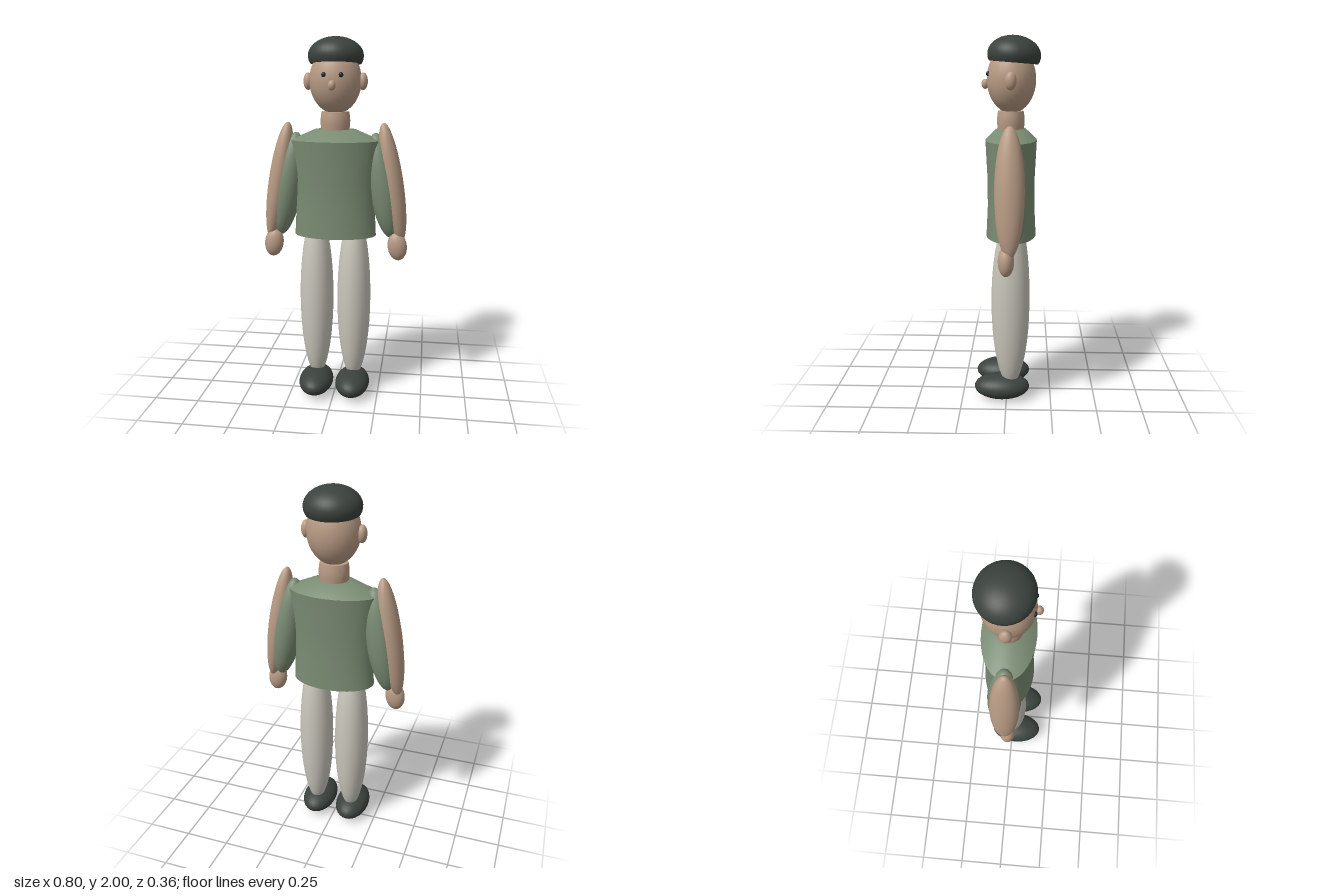
import * as THREE from 'three';
import { toCreasedNormals } from 'three/addons/utils/BufferGeometryUtils.js';

function material(name, color) {
  const m = new THREE.MeshStandardMaterial({ color });
  m.name = name;
  return m;
}

export function createModel() {
  const skin = material('skin', 0xb89b84);
  const green = material('shirt green', 0x7a8c73);
  const cloth = material('trouser grey', 0xc9c6bb);
  const dark = material('dark green grey', 0x3b423d);
  const eyeDark = material('eye dark', 0x26282c);

  const model = new THREE.Group();
  model.name = 'standingFigure';

  function add(name, geometry, mat, position, scale = [1, 1, 1]) {
    const mesh = new THREE.Mesh(geometry, mat);
    mesh.name = name;
    mesh.position.set(...position);
    mesh.scale.set(...scale);
    model.add(mesh);
    return mesh;
  }

  // Ellipsoid given by its centre and three radii
  const ball = new THREE.SphereGeometry(1, 28, 20);
  const ellipsoid = (name, mat, centre, radii) => add(name, ball, mat, centre, radii);

  // Elliptical solid of revolution with crisp rims
  function turned(name, mat, profile, z, depth) {
    const points = profile.map(([r, y]) => new THREE.Vector2(r, y));
    const geometry = toCreasedNormals(new THREE.LatheGeometry(points, 36), 0.6);
    return add(name, geometry, mat, [0, 0, z], [1, 1, depth]);
  }

  // Limb ellipsoid stretched between two tips
  function limb(name, mat, top, bottom, rx, rz) {
    const a = new THREE.Vector3(...top), b = new THREE.Vector3(...bottom);
    const axis = a.clone().sub(b);
    const mesh = ellipsoid(name, mat, a.add(b).multiplyScalar(0.5).toArray(), [rx, axis.length() / 2, rz]);
    mesh.quaternion.setFromUnitVectors(new THREE.Vector3(0, 1, 0), axis.normalize());
  }

  // Shirt body with sloping shoulders
  turned('shirt', green, [
    [0, 0.937], [0.226, 0.937], [0.217, 1.1], [0.222, 1.25], [0.247, 1.46], [0.11, 1.518], [0, 1.518],
  ], -0.022, 0.56);
  // Front and back keep their depth while the sides taper
  const shirt = model.getObjectByName('shirt');
  const pos = shirt.geometry.attributes.position;
  for (let i = 0; i < pos.count; i++) {
    const y = pos.getY(i);
    const k = y > 1.5 ? 1.28 : 1.075 - 0.15 * (y - 0.937);
    pos.setZ(i, pos.getZ(i) * k);
  }

  // Barrel neck
  turned('neck', skin, [[0, 1.5], [0.073, 1.5], [0.079, 1.54], [0.08, 1.565], [0.078, 1.59], [0.074, 1.612], [0, 1.612]], -0.02, 0.92);

  // Head and face
  ellipsoid('head', skin, [0, 1.775, -0.023], [0.139, 0.175, 0.13]);
  ellipsoid('nose', skin, [0, 1.752, 0.115], [0.02, 0.026, 0.02]);

  // Cap: a flattened dome cut flat below, tipped back a little
  const capProfile = [[0, -0.039]];
  for (let i = 0; i <= 14; i++) {
    const a = -0.4 + (i / 14) * (Math.PI / 2 + 0.4);
    capProfile.push([Math.max(0, 0.148 * Math.cos(a)), 0.1 * Math.sin(a)]);
  }
  const cap = turned('cap', dark, capProfile, -0.037, 0.95);
  cap.position.y = 1.9;
  cap.rotation.x = -0.08;

  // Mirrored parts
  for (const [side, s] of [['left', 1], ['right', -1]]) {
    ellipsoid(side + 'Eye', eyeDark, [s * 0.045, 1.805, 0.097], [0.012, 0.013, 0.011]);
    ellipsoid(side + 'Ear', skin, [s * 0.147, 1.77, -0.023], [0.025, 0.046, 0.03]);
    limb(side + 'Sleeve', green, [s * 0.213, 1.5, -0.026], [s * 0.312, 0.925, -0.026], 0.08, 0.087);
    limb(side + 'Arm', skin, [s * 0.258, 1.555, -0.021], [s * 0.366, 0.9, -0.021], 0.06, 0.077);
    limb(side + 'Hand', skin, [s * 0.336, 0.962, -0.005], [s * 0.356, 0.803, -0.005], 0.053, 0.042);
    ellipsoid(side + 'Leg', cloth, [s * 0.106, 0.57, -0.022], [0.094, 0.49, 0.105]);
    ellipsoid(side + 'Shoe', dark, [s * 0.105, 0.07, 0.026], [0.097, 0.07, 0.155]);
  }
  return model;
}
